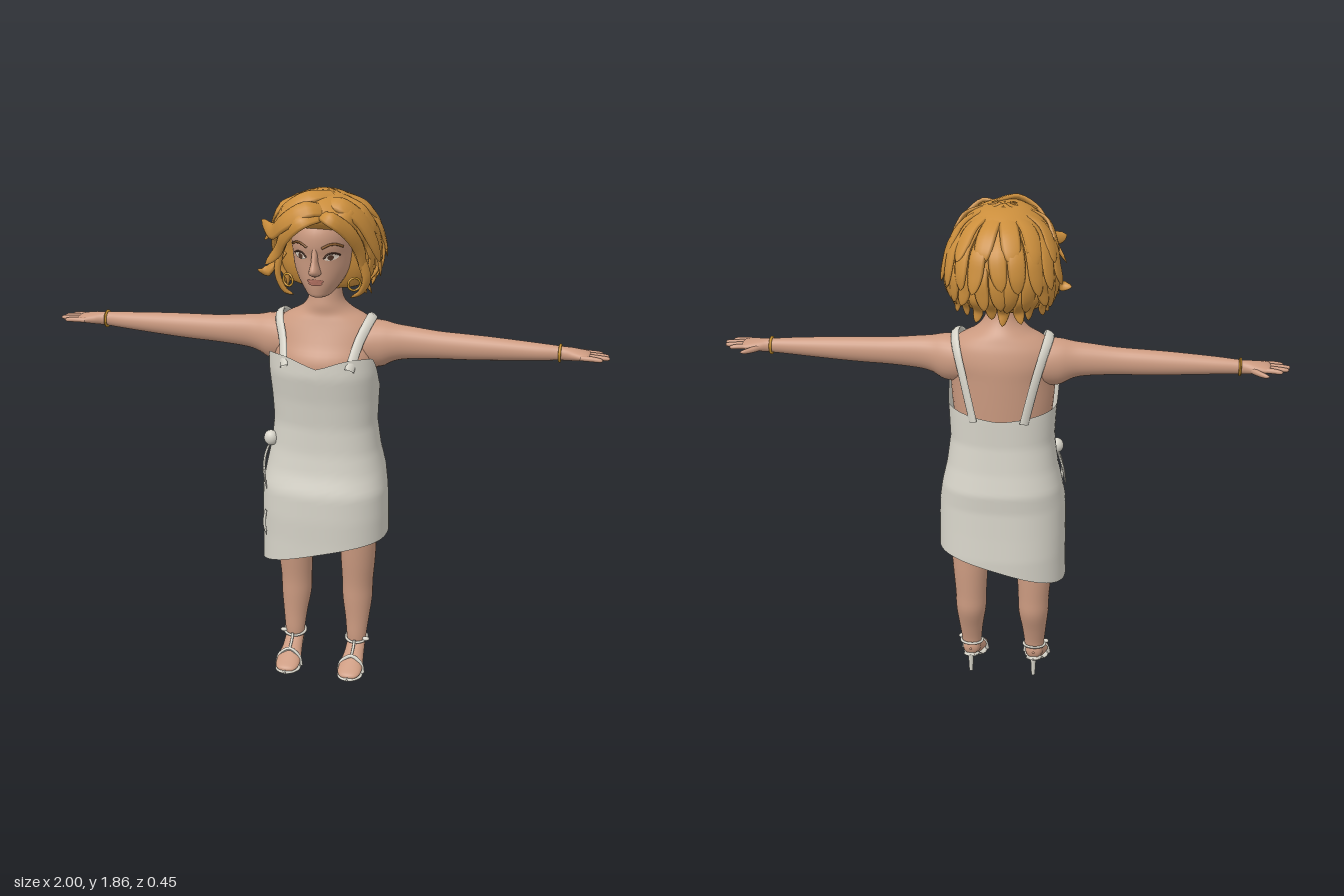
import * as THREE from 'three';

const V = (p) => new THREE.Vector3(...p);
const mat = (name, color, side = THREE.FrontSide) => {
  const m = new THREE.MeshStandardMaterial({ color, side });
  m.name = name;
  return m;
};

// Grid surface, closed around u, from a rule f(u, v) -> [x, y, z]
function surface(nu, nv, f) {
  const pos = [], idx = [];
  for (let j = 0; j <= nv; j++)
    for (let i = 0; i < nu; i++) pos.push(...f(i / nu, j / nv));
  for (let j = 0; j < nv; j++)
    for (let i = 0; i < nu; i++) {
      const a = j * nu + i, b = j * nu + (i + 1) % nu;
      idx.push(a, a + nu, b, b, a + nu, b + nu);
    }
  const g = new THREE.BufferGeometry();
  g.setAttribute('position', new THREE.Float32BufferAttribute(pos, 3));
  g.setIndex(idx);
  g.computeVertexNormals();
  return g;
}

// Smooth loft through rows [t, centreA, radiusA, centreB, radiusB] along an axis
function loft(rows, axis, nu = 28, sub = 4) {
  const n = rows.length - 1;
  return surface(nu, n * sub, (u, v) => {
    const k = Math.min(Math.floor(v * n + 1e-6), n - 1), s = v * n - k;
    const r = (i) => rows[Math.max(0, Math.min(n, i))];
    const [t, ca, ra, cb, rb] = rows[0].map((_, c) => {
      const p0 = r(k - 1)[c], p1 = r(k)[c], p2 = r(k + 1)[c], p3 = r(k + 2)[c];
      return p1 + 0.5 * s * (p2 - p0 + s * (2 * p0 - 5 * p1 + 4 * p2 - p3 + s * (3 * (p1 - p2) + p3 - p0)));
    });
    const c = Math.cos(u * 2 * Math.PI), d = Math.sin(u * 2 * Math.PI);
    const A = Math.max(ra, 0.001), B = Math.max(rb, 0.001);
    if (axis === 'y') return [ca + A * c, t, cb + B * d];
    if (axis === 'x') return [t, ca + A * d, cb + B * c];
    return [ca + A * d, cb + B * c, t];
  });
}

// Row values at a given height
function sample(rows, y) {
  let k = 0;
  while (k < rows.length - 2 && y > rows[k + 1][0]) k++;
  const s = Math.max(0, Math.min(1, (y - rows[k][0]) / (rows[k + 1][0] - rows[k][0])));
  return rows[k].map((a, c) => a + (rows[k + 1][c] - a) * s);
}

// Flat band along a path, lying on a body around the centre; tapered to a tip for hair
function band(points, w, thick, centre, tapered = true) {
  const curve = new THREE.CatmullRomCurve3(points.map(V)), mid = V(centre);
  return surface(8, 16, (u, v) => {
    const p = curve.getPoint(v), t = curve.getTangent(v);
    const out = p.clone().sub(mid);
    out.addScaledVector(t, -out.dot(t)).normalize();
    const side = t.clone().cross(out);
    const k = tapered ? Math.max(0.01, (0.5 + 1.1 * v) * Math.pow(1 - v, 0.6)) : 1;
    p.addScaledVector(side, w * k * Math.cos(u * 2 * Math.PI));
    return p.addScaledVector(out, thick * k * Math.sin(u * 2 * Math.PI)).toArray();
  });
}
const tube = (pts, r, n = 20) => new THREE.TubeGeometry(new THREE.CatmullRomCurve3(pts.map(V)), n, r, 8);

function mirrored(g) {
  const m = g.clone().scale(-1, 1, 1), a = m.index.array;
  for (let i = 0; i < a.length; i += 3) [a[i], a[i + 1]] = [a[i + 1], a[i]];
  m.computeVertexNormals();
  return m;
}

// Profiles: [height, centre x, radius x, centre z, radius z]
const TORSO = [[.66, 0, .02, -.02, .02], [.68, 0, .16, -.02, .1], [.8, 0, .195, -.022, .13], [.95, 0, .172, -.018, .118],
  [1.05, 0, .172, -.013, .122], [1.15, 0, .182, -.008, .13], [1.24, 0, .188, -.006, .134], [1.3, 0, .195, -.02, .12],
  [1.35, 0, .185, -.026, .104], [1.385, 0, .148, -.026, .09], [1.41, 0, .1, -.024, .08], [1.44, 0, .07, -.014, .07],
  [1.48, 0, .058, -.01, .06], [1.56, 0, .055, -.012, .055]];
const HEAD = [[1.486, 0, .008, .095, .012], [1.495, 0, .038, .081, .051], [1.515, 0, .058, .06, .08], [1.55, 0, .082, .042, .104],
  [1.59, 0, .099, .025, .125], [1.64, 0, .108, .0125, .1425], [1.68, 0, .112, .0125, .152], [1.73, 0, .11, .01, .15],
  [1.78, 0, .09, .005, .12], [1.82, 0, .04, 0, .05]];
const HAIR = [[1.49, 0, .02, -.04, .02], [1.5, 0, .115, -.04, .07], [1.53, 0, .155, -.05, .1], [1.58, 0, .178, -.06, .125],
  [1.66, 0, .183, -.06, .135], [1.72, 0, .173, -.03, .155], [1.77, 0, .15, .02, .168], [1.81, 0, .115, .03, .135],
  [1.838, 0, .065, .035, .08], [1.848, 0, .003, .035, .003]];
const DRESS = [[.42, 0, .235, -.015, .17], [.56, 0, .232, -.015, .17], [.65, 0, .232, -.01, .168], [.75, 0, .229, -.008, .164],
  [.82, 0, .218, -.022, .155], [.9, 0, .2, -.02, .141], [1, 0, .187, -.015, .134], [1.1, 0, .192, -.01, .14],
  [1.2, 0, .2, 0, .148], [1.27, 0, .2, .005, .14]];

export function createModel() {
  const root = new THREE.Group();
  root.name = 'womanInDress';
  const skin = mat('skin', 0xcb9a80), cloth = mat('dress cloth', 0xd6d3c8, THREE.DoubleSide), hair = mat('hair', 0xcb8e3c),
    gold = mat('gold', 0xc8922f), white = mat('eye white', 0xe6d8c8), dark = mat('iris', 0x54382a),
    lip = mat('lips', 0xb47262), brow = mat('eyebrow', 0x8a5c30);
  const add = (name, g, m) => {
    const mesh = new THREE.Mesh(g, m);
    mesh.name = name;
    root.add(mesh);
  };
  const both = (name, g, m) => { add(name + 'Left', g, m); add(name + 'Right', mirrored(g), m); };

  // Body
  add('torso', loft(TORSO, 'y', 36), skin);
  both('arm', loft([[.1, 1.295, .06, -.02, .06], [.14, 1.295, .082, -.02, .08], [.2, 1.295, .084, -.02, .07], [.25, 1.303, .067, -.018, .055],
    [.3, 1.306, .059, -.018, .046], [.4, 1.305, .05, -.018, .039], [.5, 1.305, .046, -.019, .037], [.6, 1.306, .041, -.02, .035],
    [.75, 1.307, .031, -.022, .028], [.83, 1.307, .025, -.025, .022], [.87, 1.307, .022, -.024, .033],
    [.91, 1.307, .016, -.02, .041], [.93, 1.307, .01, -.02, .036], [.935, 1.307, .001, -.02, .001]], 'x'), skin);
  [[-.052, .975], [-.03, .995], [-.007, 1], [.016, .978]].forEach(([z, end], i) =>
    both('finger' + i, loft([[.9, 1.307, .009, z * .9, .011], [.94, 1.307, .009, z, .0105], [end - .008, 1.305, .007, z * 1.08, .008],
      [end, 1.305, .001, z * 1.08, .001]], 'x', 10), skin));
  both('thumb', loft([[.855, 1.305, .01, -.035, .012], [.885, 1.302, .011, -.06, .012], [.915, 1.3, .008, -.082, .008],
    [.93, 1.3, .001, -.088, .001]], 'x', 10), skin);
  both('leg', loft([[.76, .1, .02, -.02, .02], [.74, .105, .09, -.02, .09], [.55, .12, .07, -.02, .072], [.45, .12, .065, -.025, .067],
    [.35, .118, .058, -.03, .06], [.28, .118, .056, -.03, .058], [.2, .12, .045, -.018, .043], [.13, .12, .037, -.008, .033],
    [.08, .12, .032, -.01, .03]].reverse(), 'y'), skin);
  both('foot', loft([[-.047, .12, .004, .1, .004], [-.037, .12, .028, .1, .028], [0, .12, .034, .092, .035], [.04, .12, .038, .062, .035],
    [.08, .12, .044, .046, .028], [.12, .12, .044, .034, .018], [.145, .12, .03, .028, .01], [.152, .12, .002, .026, .002]], 'z', 20), skin);

  // Head and face
  add('head', loft(HEAD, 'y', 36), skin);
  add('nose', loft([[1.572, 0, .004, .148, .008], [1.582, 0, .021, .15, .028], [1.597, 0, .019, .155, .035], [1.625, 0, .012, .156, .022],
    [1.655, 0, .01, .155, .013], [1.685, 0, .006, .155, .006]], 'y', 16), skin);
  const faceZ = (x, y) => {
    const [, , rx, cz, rz] = sample(HEAD, y);
    return cz + rz * Math.sqrt(Math.max(0, 1 - (x / rx) ** 2));
  };
  const plate = (cx, cy, w, h, lift, tilt = 0) => {
    const g = new THREE.CircleGeometry(1, 24).scale(w, h, 1).rotateZ(tilt).translate(cx, cy, 0), p = g.attributes.position;
    for (let i = 0; i < p.count; i++) p.setZ(i, faceZ(p.getX(i), p.getY(i)) + lift);
    g.computeVertexNormals();
    return g;
  };
  both('eye', plate(.054, 1.641, .023, .011, .004, .1), white);
  both('iris', plate(.053, 1.641, .0095, .0095, .006), dark);
  const onFace = (pts) => pts.map(([x, y]) => [x, y, faceZ(x, y) + .002]);
  both('eyelid', tube(onFace([[.03, 1.638], [.045, 1.653], [.062, 1.655], [.08, 1.645]]), .003), dark);
  both('eyebrow', tube(onFace([[.025, 1.675], [.05, 1.687], [.07, 1.686], [.088, 1.674]]), .0045), brow);
  add('upperLip', plate(0, 1.556, .03, .007, .005), lip);
  add('lowerLip', plate(0, 1.547, .025, .008, .005), lip);
  both('earring', new THREE.TorusGeometry(.022, .004, 8, 20).rotateY(.5).translate(.118, 1.53, .065), gold);
  both('bracelet', new THREE.TorusGeometry(.028, .005, 8, 24).rotateY(Math.PI / 2).translate(.828, 1.307, -.025), gold);

  // Hair: a cap covered by rows of overlapping locks
  add('hairCap', loft(HAIR, 'y', 36), hair);
  let seed = 7;
  const rnd = () => (seed = (seed * 16807) % 2147483647) / 2147483647 - .5;
  const capPoint = (a, y, off) => {
    const [, , rx, cz, rz] = sample(HAIR, Math.max(y, 1.515));
    return [(rx + off) * Math.cos(a), y, cz + (rz + off) * Math.sin(a)];
  };
  const core = [0, 1.64, -.02];
  [[1.845, 1.69, 10, 48, .05, .016], [1.8, 1.6, 13, 56, .045, .026], [1.7, 1.53, 15, 62, .04, .034], [1.61, 1.48, 14, 66, .033, .022]]
    .forEach(([y0, y1, n, gap, w, flick], row) => {
      for (let i = 0; i < n; i++) {
        const a = THREE.MathUtils.degToRad(90 + gap + (360 - 2 * gap) * i / (n - 1));
        const end = y1 + rnd() * .03, swing = rnd() * .22;
        const pts = [[0, -.006], [.35, .008], [.7, .012], [1, flick + rnd() * .016]].map(([t, off]) =>
          capPoint(a + swing * t * t, y0 + (end - y0) * t, off));
        add(`hairLock${row}_${i}`, band(pts, w, .012, core), hair);
      }
    });
  [[[.04, 1.8, .13], [-.02, 1.815, .19], [-.1, 1.765, .18], [-.165, 1.71, .1], [-.215, 1.735, .05], .05],
    [[.04, 1.79, .14], [-.03, 1.78, .215], [-.1, 1.715, .17], [-.145, 1.64, .1], [-.2, 1.58, .07], .042],
    [[.04, 1.84, .06], [-.03, 1.84, .12], [-.11, 1.79, .12], [-.17, 1.71, .05], [-.22, 1.65, .0], .05],
    [[.02, 1.79, .15], [.06, 1.79, .195], [.115, 1.735, .15], [.145, 1.65, .09], [.15, 1.56, .07], .04],
    [[.02, 1.82, .1], [.08, 1.82, .12], [.14, 1.77, .09], [.18, 1.68, .05], [.2, 1.6, .02], .05],
    [[-.12, 1.68, .09], [-.145, 1.62, .075], [-.155, 1.55, .065], [-.13, 1.49, .06], [-.1, 1.475, .055], .03],
    [[.12, 1.68, .09], [.145, 1.62, .075], [.16, 1.55, .06], [.14, 1.5, .05], [.1, 1.475, .05], .03],
    [[-.13, 1.63, .05], [-.17, 1.58, .05], [-.2, 1.55, .05], [-.235, 1.55, .04], .03]].forEach((l, i) =>
    add('fringeLock' + i, band(l.slice(0, -1), l[l.length - 1], .016, core), hair));

  // Dress with a slanted hem, low back and shoulder straps
  add('dress', surface(64, 44, (u, v) => {
    const a = u * 2 * Math.PI, c = Math.cos(a), s = Math.sin(a);
    const cx = Math.sign(c) * Math.abs(c) ** .82, sz = Math.sign(s) * Math.abs(s) ** .82;
    const hem = .565 - .12 * ((1 - cx) / 2) ** 1.4;
    const front = THREE.MathUtils.smoothstep(s, -.15, .45);
    const top = 1.105 + .03 * Math.abs(c) + front * (.13 + .02 * Math.sin(Math.abs(c) * Math.PI));
    const y = hem + (top - hem) * v, [, , rx, cz, rz] = sample(DRESS, y);
    return [rx * cx, y, cz + rz * sz];
  }), cloth);
  both('strap', band([[.118, 1.235, .135], [.137, 1.32, .075], [.16, 1.378, .03], [.167, 1.393, -.02], [.158, 1.365, -.08],
    [.128, 1.26, -.122], [.09, 1.1, -.143]], .018, .007, [.06, 1.24, -.02], false), cloth);

  // Knot and hanging ribbons at the hip
  add('hipKnot', new THREE.SphereGeometry(.026, 16, 12).scale(1, 1.1, .9).translate(-.188, .93, .06), cloth);
  add('ribbonLong', band([[-.188, .92, .065], [-.208, .86, .07], [-.208, .8, .085], [-.195, .74, .1]], .018, .007, [0, .8, 0]), cloth);
  add('ribbonShort', band([[-.188, .92, .06], [-.215, .85, .04], [-.225, .78, .045]], .018, .007, [0, .8, 0]), cloth);
  add('ribbonEnd', band([[-.2, .66, .1], [-.205, .61, .105], [-.195, .56, .11]], .012, .008, [0, .6, 0]), cloth);

  // Heeled sandals
  both('sole', loft([[-.055, .12, .004, .075, .003], [-.045, .12, .026, .073, .007], [0, .12, .03, .056, .007], [.045, .12, .036, .022, .007],
    [.08, .12, .046, .016, .007], [.12, .12, .046, .016, .007], [.15, .12, .03, .018, .006], [.158, .12, .003, .018, .004]], 'z', 20), cloth);
  both('heel', new THREE.CylinderGeometry(.011, .007, .08, 12).translate(.12, .04, -.04), cloth);
  both('ankleStrap', new THREE.TorusGeometry(.04, .005, 8, 28).rotateX(Math.PI / 2 + .15).translate(.12, .118, -.008), cloth);
  both('toeStrap', tube([[.073, .02, .09], [.082, .055, .085], [.12, .08, .08], [.158, .055, .085], [.167, .02, .09]], .007), cloth);
  both('instepStrap', tube([[.12, .122, .032], [.12, .102, .045], [.12, .08, .08]], .005), cloth);
  both('strapBow', new THREE.SphereGeometry(.01, 10, 8).scale(1.4, .8, 1).translate(.16, .122, .01), cloth);
  return root;
}
